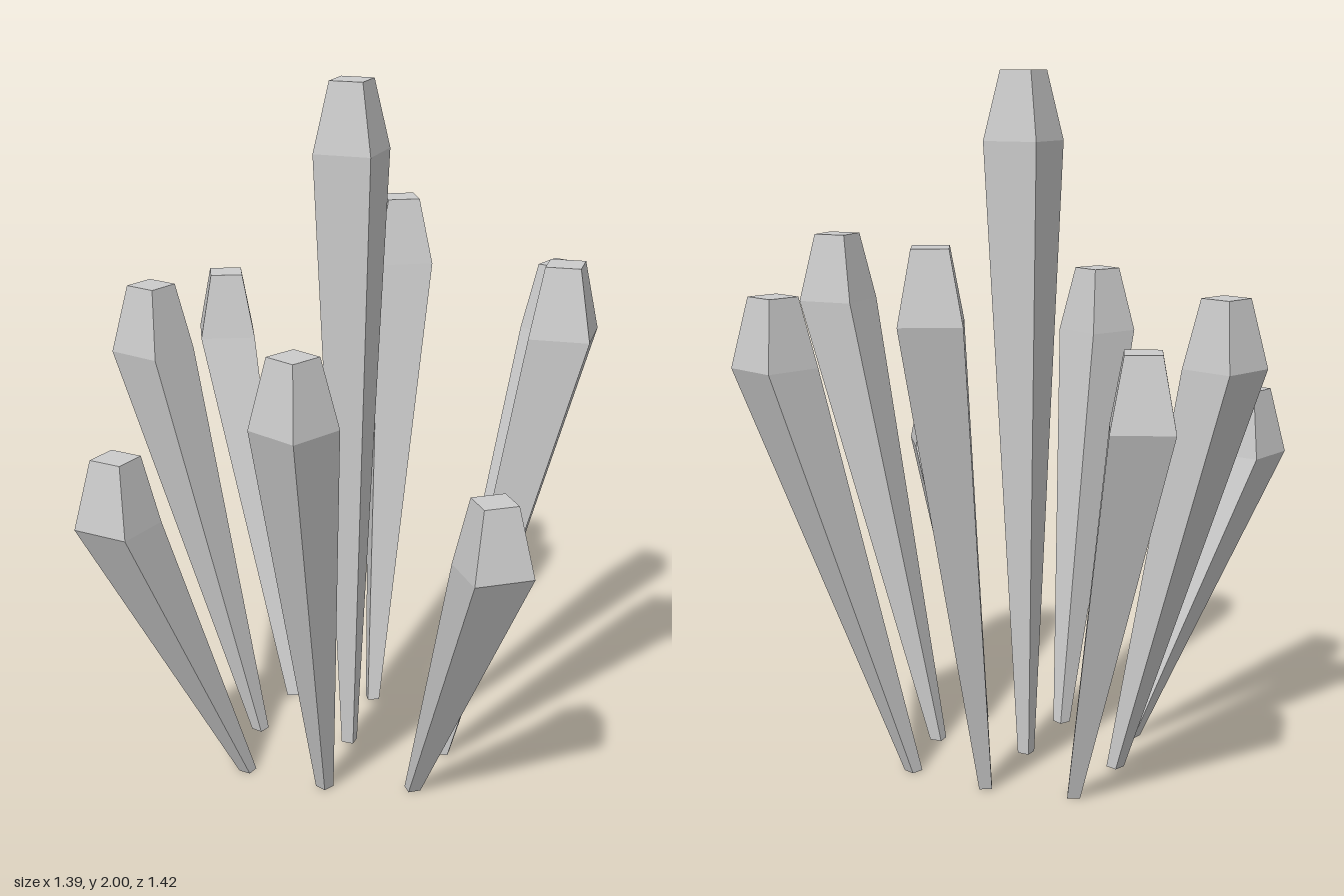
import * as THREE from 'three';

const material = new THREE.MeshStandardMaterial({ color: 0xcccccc, flatShading: true });

// Side lengths of the square rings: foot, shoulder, tip
const FOOT = 0.036, SHOULDER = 0.167, TIP = 0.097;
const TIP_HEIGHT = 0.195;

// name, foot x, foot z, head x, head z, total height, turn in degrees (x towards z)
const SHARDS = [
  ['centreShard', 0.005, 0, 0.01, -0.005, 2.0, 5],
  ['frontShard', 0.005, 0.285, 0.012, 0.592, 1.39, 29.5],
  ['backShard', 0.005, -0.295, 0.012, -0.605, 1.56, -24],
  ['leftShard', 0.295, 0, 0.609, -0.003, 1.525, 0],
  ['rightShard', -0.28, -0.005, -0.588, -0.004, 1.39, 22],
  ['frontLeftShard', 0.255, 0.235, 0.517, 0.487, 1.01, -32],
  ['frontRightShard', -0.24, 0.25, -0.505, 0.525, 1.05, 15],
  ['backLeftShard', 0.25, -0.26, 0.525, -0.52, 1.4, 22.5],
  ['backRightShard', -0.25, -0.26, -0.53, -0.515, 1.31, -20],
];

// A box with two height segments, its three rings resized, turned and shifted
function makeShard([name, footX, footZ, headX, headZ, height, degrees]) {
  const geometry = new THREE.BoxGeometry(1, 2, 1, 1, 2, 1);
  const rings = [
    { x: footX, z: footZ, y: 0, size: FOOT },
    { x: headX, z: headZ, y: height - TIP_HEIGHT, size: SHOULDER },
    { x: headX, z: headZ, y: height, size: TIP },
  ];
  const turn = THREE.MathUtils.degToRad(degrees);
  const c = Math.cos(turn), s = Math.sin(turn);
  const pos = geometry.attributes.position;
  for (let i = 0; i < pos.count; i++) {
    const ring = rings[Math.round(pos.getY(i)) + 1];
    const x = pos.getX(i) * ring.size, z = pos.getZ(i) * ring.size;
    pos.setXYZ(i, ring.x + x * c - z * s, ring.y, ring.z + x * s + z * c);
  }
  geometry.computeVertexNormals();
  const mesh = new THREE.Mesh(geometry, material);
  mesh.name = name;
  return mesh;
}

export function createModel() {
  const group = new THREE.Group();
  group.name = 'crystalCluster';
  for (const shard of SHARDS) group.add(makeShard(shard));
  return group;
}
